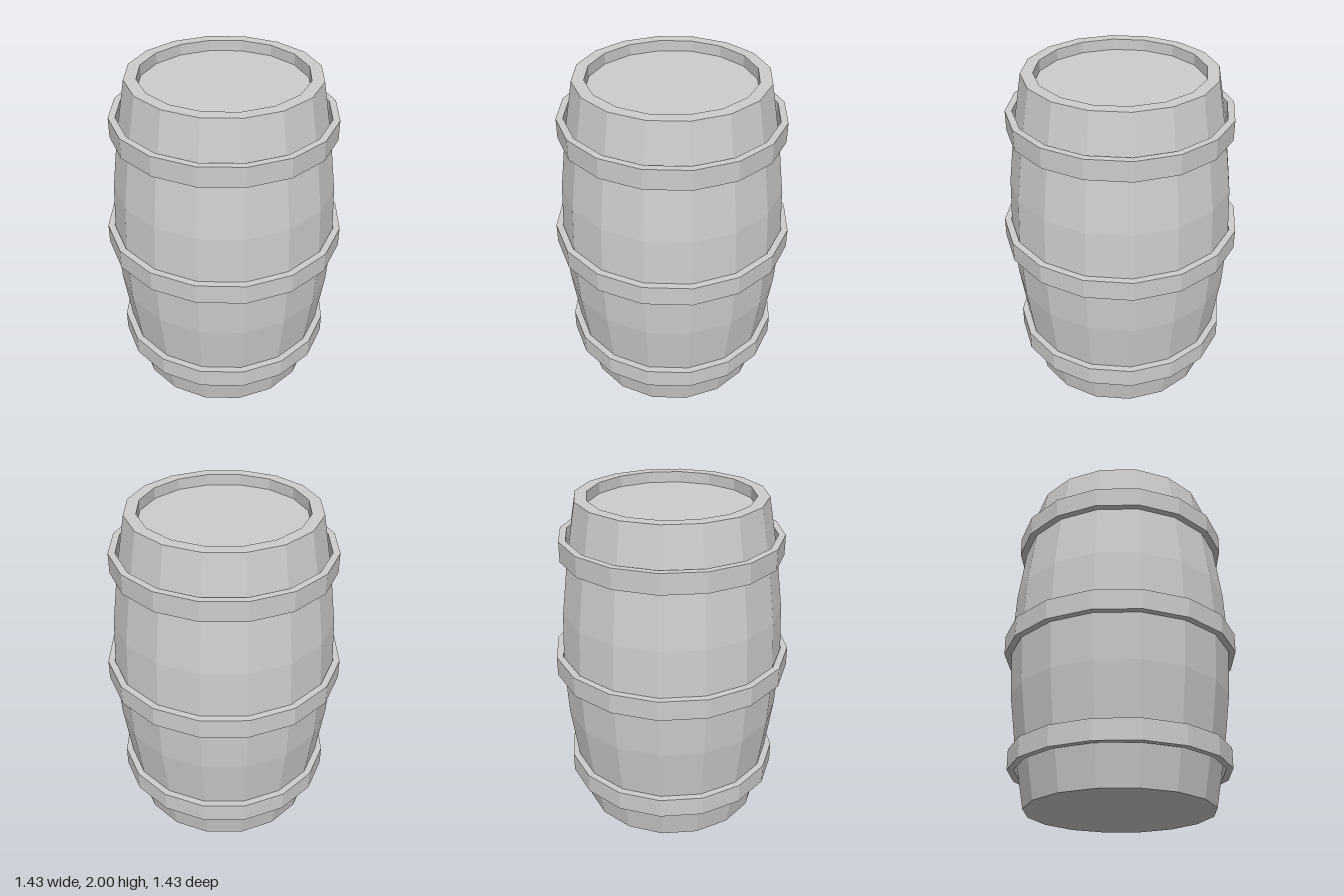
import * as THREE from 'three';

const SIDES = 16;

export function createModel() {
  const model = new THREE.Group();
  model.name = 'barrel';
  const grey = new THREE.MeshStandardMaterial({ color: 0xcccccc, flatShading: true });
  grey.name = 'light grey';

  // Revolve a profile of [radius, height] points; outer sides run upwards
  const lathe = (name, profile) => {
    const points = profile.map(([r, y]) => new THREE.Vector2(r, y));
    const mesh = new THREE.Mesh(new THREE.LatheGeometry(points, SIDES), grey);
    mesh.name = name;
    model.add(mesh);
  };

  // Bulging staves with base, flat rim and the inner wall of the recess
  const lidY = 1.935, rimInner = 0.485;
  const staves = [[0, 0]];
  for (let i = 0; i <= 6; i++) {
    staves.push([0.555 + 0.12 * Math.sin((Math.PI * i) / 6), i / 3]);
  }
  staves.push([rimInner, 2], [rimInner, lidY]);
  lathe('staves', staves);

  // Sunken lid
  lathe('lid', [[rimInner, lidY], [0, lidY]]);

  // Hoops: closed rings with a rectangular section
  const hoop = (name, y, inner, outer) => {
    const lo = y - 0.06, hi = y + 0.06;
    lathe(name, [[inner, lo], [outer, lo], [outer, hi], [inner, hi], [inner, lo]]);
  };
  hoop('lowerHoop', 0.28, 0.616, 0.656);
  hoop('middleHoop', 1, 0.675, 0.715);
  hoop('upperHoop', 1.72, 0.616, 0.656);

  // Keep the hoops' heights symmetric about the middle of the barrel
  return model;
}
